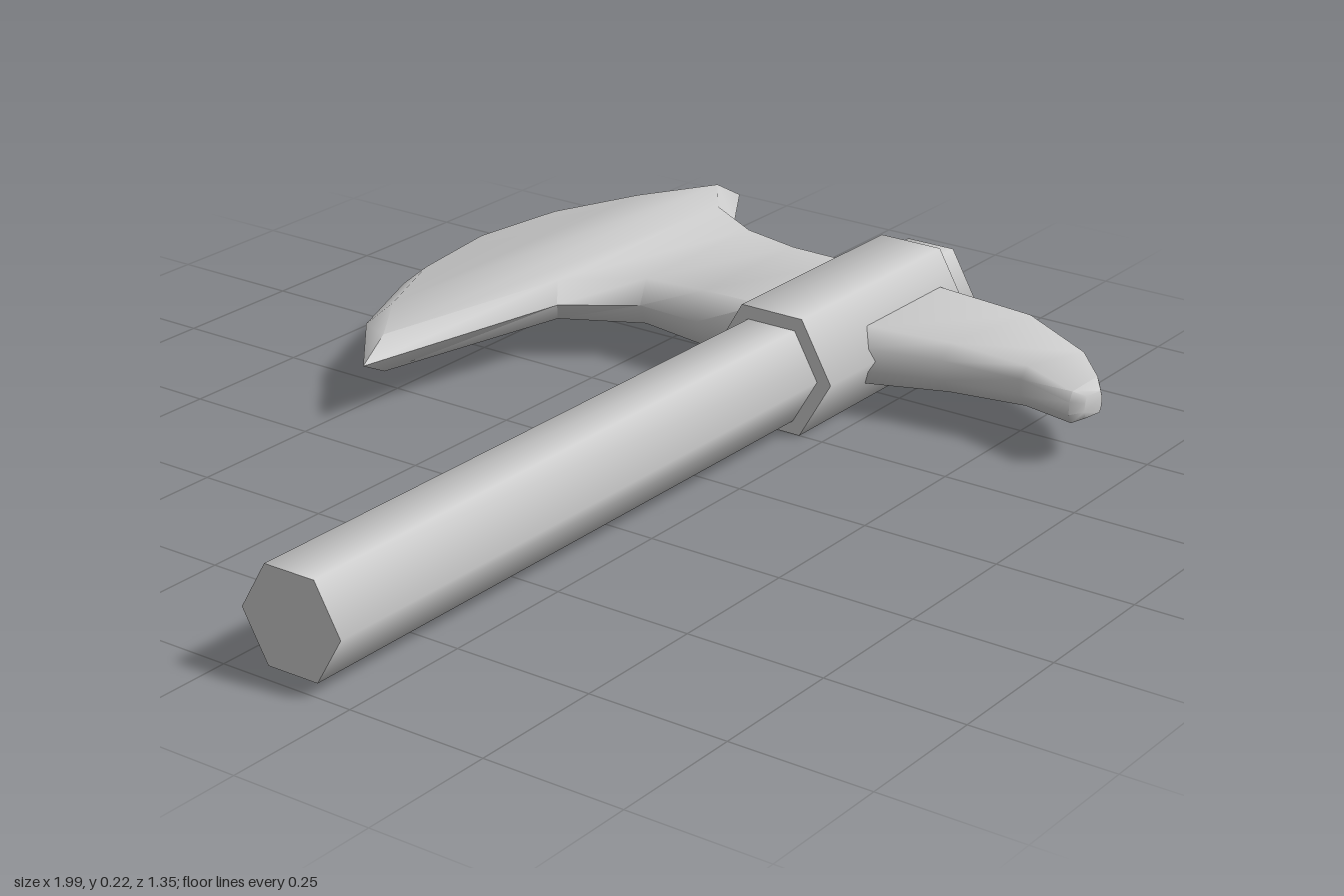
import * as THREE from 'three';
import { toCreasedNormals } from 'three/addons/utils/BufferGeometryUtils.js';

const CY = 0.127; // height of the mid plane
const HZ = 0.14;  // z of the handle axis

// Skins a list of equal-sized rings (running towards -z) and caps both ends
function loft(rings, crease) {
  const n = rings[0].length, index = [];
  for (let i = 0; i < rings.length - 1; i++) {
    for (let j = 0; j < n; j++) {
      const a = i * n + j, b = i * n + (j + 1) % n;
      index.push(a, b, a + n, b, b + n, a + n);
    }
  }
  const last = (rings.length - 1) * n;
  for (let j = 1; j < n - 1; j++) {
    index.push(0, j + 1, j, last, last + j, last + j + 1);
  }
  const geo = new THREE.BufferGeometry();
  geo.setAttribute('position', new THREE.Float32BufferAttribute(rings.flat(2), 3));
  geo.setIndex(index);
  return toCreasedNormals(geo, crease);
}

export function createModel() {
  const group = new THREE.Group();
  const material = new THREE.MeshStandardMaterial({ color: 0xcccccc });
  const add = (name, geometry) => {
    const mesh = new THREE.Mesh(geometry, material);
    mesh.name = name;
    group.add(mesh);
    return mesh;
  };

  // Hexagonal bars along x, with a corner pointing up
  const hexBar = (name, radius, x0, x1) => {
    const geo = new THREE.CylinderGeometry(radius, radius, x1 - x0, 6);
    geo.rotateZ(-Math.PI / 2);
    add(name, geo).position.set((x0 + x1) / 2, CY, HZ);
  };
  hexBar('handle', 0.097, -1, 0.77);
  hexBar('collar', 0.125, 0.25, 0.7);

  // Blade rows: rim left x, right x, z; face left x, right x, z; half thickness
  const bladeRows = [
    [0.36, 0.69, 0.14, 0.385, 0.665, 0.14, 0.056],
    [0.36, 0.69, 0.03, 0.385, 0.665, 0.03, 0.056],
    [0.363, 0.70, -0.10, 0.388, 0.675, -0.10, 0.053],
    [0.37, 0.755, -0.23, 0.395, 0.725, -0.235, 0.044],
    [0.28, 0.845, -0.352, 0.305, 0.815, -0.37, 0.038],
    [-0.16, 0.99, -0.44, -0.09, 0.93, -0.452, 0.035],
    [0.0, 0.825, -0.57, 0.04, 0.785, -0.54, 0.035],
    [0.2, 0.63, -0.65, 0.22, 0.61, -0.612, 0.035],
    [0.41, 0.425, -0.678, 0.41, 0.425, -0.637, 0.035],
  ];
  add('blade', loft(bladeRows.map(([l, r, z, fl, fr, fz, t]) => [
    [l, CY, z], [fl, CY + t, fz], [fr, CY + t, fz],
    [r, CY, z], [fr, CY - t, fz], [fl, CY - t, fz],
  ]), 1.15));

  // Horn rows from tip to collar: left x, z; right x, z; half thickness
  const hornRows = [
    [0.425, 0.664, 0.47, 0.672, 0.02],
    [0.405, 0.645, 0.51, 0.645, 0.029],
    [0.44, 0.53, 0.58, 0.585, 0.037],
    [0.425, 0.38, 0.67, 0.43, 0.046],
    [0.385, 0.24, 0.68, 0.24, 0.054],
    [0.36, 0.14, 0.685, 0.14, 0.056],
  ];
  add('horn', loft(hornRows.map(([l, lz, r, rz, t]) => {
    const s = t * 0.4, k = 0.09; // flat side half height, chamfer share
    const at = (f, y) => [l + (r - l) * f, CY + y, lz + (rz - lz) * f];
    return [
      at(0, -s), at(0, s), at(k, t), at(1 - k, t),
      at(1, s), at(1, -s), at(1 - k, -t), at(k, -t),
    ];
  }), 1.15));

  return group;
}
